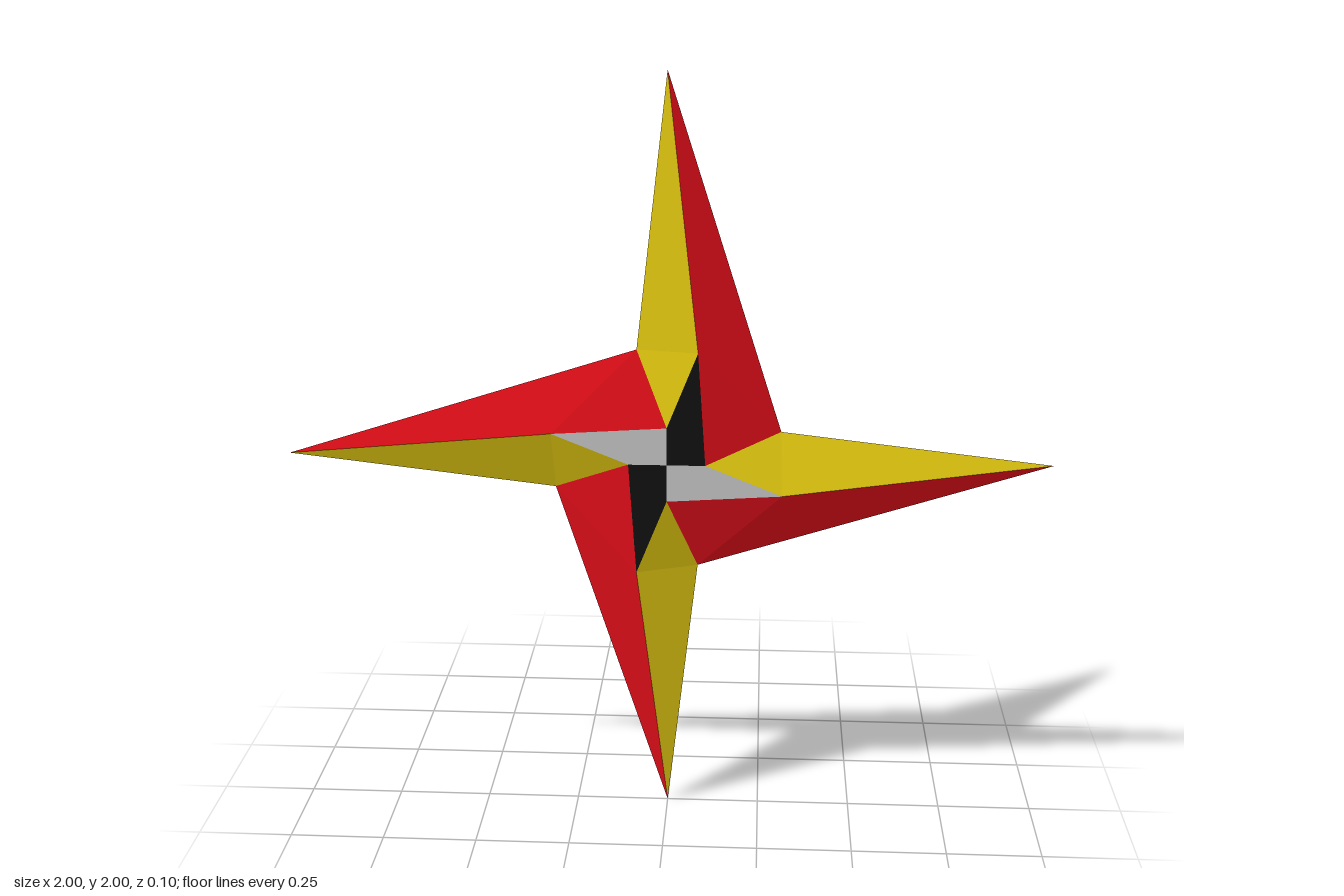
import * as THREE from 'three';

// Corner points of one arm, relative to the hub centre (z = half thickness on the raised parts)
const H = 0.05;
const turn = ([x, y, z]) => [y, -x, z]; // quarter turn clockwise
const tip = [0, 1, 0];
const valley = [-0.08, 0.295, 0];
const ridge = [0.08, 0.3, H];
const inner = [0, 0.1, H];
const centre = [0, 0, H];
const nextValley = turn(valley);
const nextInner = turn(inner);

// Facets of one arm, corners counter-clockwise seen from the front
const facets = {
  yellowFacet: [[tip, valley, ridge], [valley, inner, ridge]],
  redFacet: [[tip, ridge, nextValley], [ridge, nextInner, nextValley]],
  hubFacet: [[centre, nextInner, ridge], [centre, ridge, inner]],
};

// Front triangles plus their mirror image on the back
function facetGeometry(triangles) {
  const pos = [];
  for (const [a, b, c] of triangles) {
    pos.push(...a, ...b, ...c);
    for (const [x, y, z] of [a, c, b]) pos.push(x, y, -z);
  }
  const g = new THREE.BufferGeometry();
  g.setAttribute('position', new THREE.Float32BufferAttribute(pos, 3));
  g.computeVertexNormals();
  return g;
}

const paint = (color) => new THREE.MeshStandardMaterial({ color, flatShading: true });

export function createModel() {
  const model = new THREE.Group();
  model.name = 'fourPointedStar';

  const yellow = paint(0xe6cc10);
  const red = paint(0xe60f1a);
  const black = paint(0x111111);
  const grey = paint(0xcccccc);

  const geometries = {};
  for (const name in facets) geometries[name] = facetGeometry(facets[name]);

  // Four arms around the hub; hub facets alternate black and grey
  ['topArm', 'leftArm', 'bottomArm', 'rightArm'].forEach((name, i) => {
    const arm = new THREE.Group();
    arm.name = name;
    const colours = { yellowFacet: yellow, redFacet: red, hubFacet: i % 2 ? grey : black };
    for (const part in geometries) {
      const mesh = new THREE.Mesh(geometries[part], colours[part]);
      mesh.name = part;
      arm.add(mesh);
    }
    arm.rotation.z = -i * Math.PI / 2;
    arm.position.y = 1;
    model.add(arm);
  });

  return model;
}
